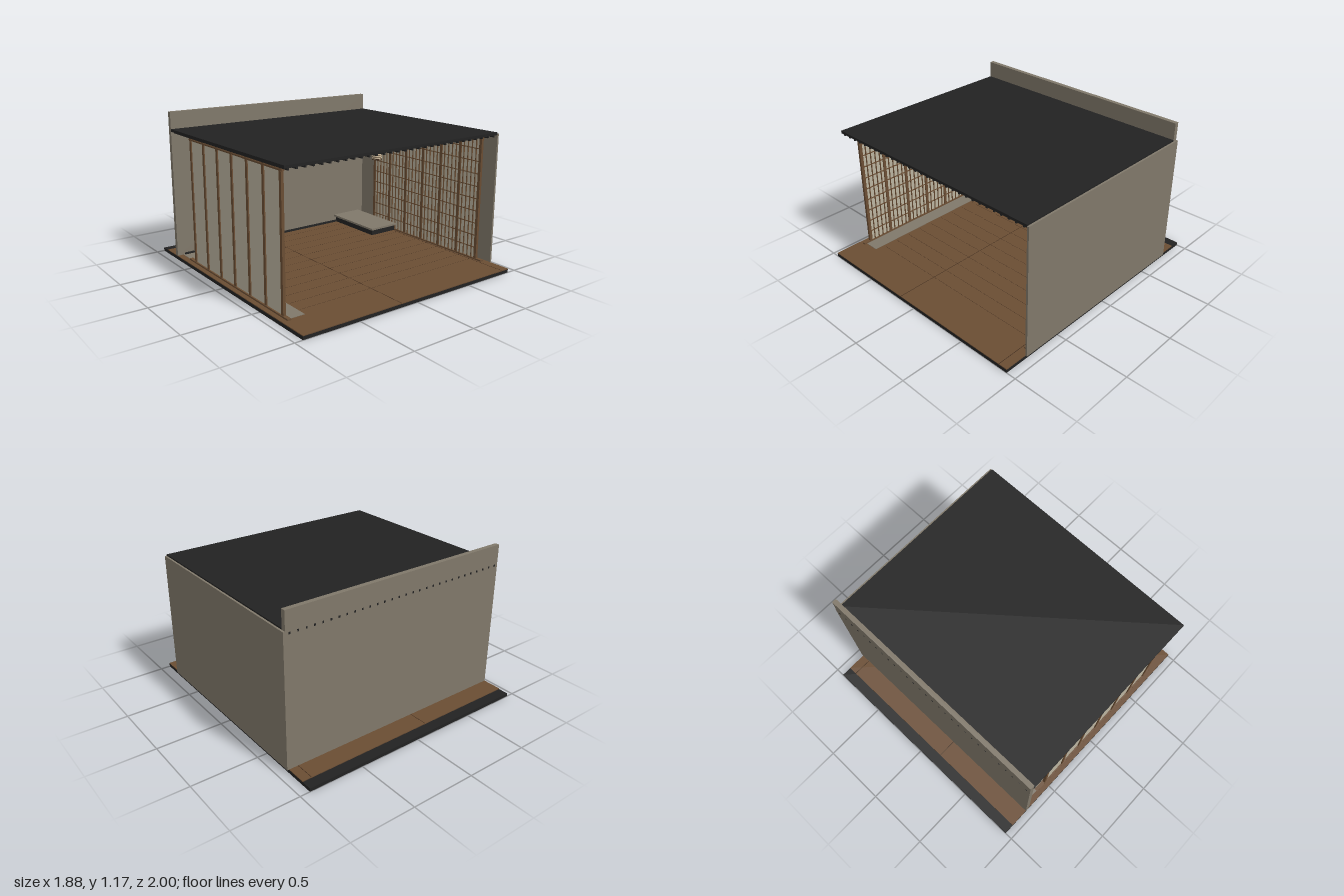
import * as THREE from 'three';

const mat = (name, color, side = THREE.FrontSide) => {
  const m = new THREE.MeshStandardMaterial({ color, side });
  m.name = name;
  return m;
};

export function createModel() {
  const root = new THREE.Group();
  root.name = 'openPavilion';
  const plaster = mat('greyPlaster', 0x80786a);
  const dark = mat('charcoal', 0x222222);
  const wood = mat('brownWood', 0x6a4d33);
  const seam = mat('darkWood', 0x3f2c1c);
  const paper = mat('screenPaper', 0xbab39f);
  const cream = mat('lanternCream', 0xd0bd9f);

  // Box given by its minimum and maximum on each axis
  const box = (name, m, x0, x1, y0, y1, z0, z1, parent = root) => {
    const mesh = new THREE.Mesh(new THREE.BoxGeometry(x1 - x0, y1 - y0, z1 - z0), m);
    mesh.position.set((x0 + x1) / 2, (y0 + y1) / 2, (z0 + z1) / 2);
    mesh.name = name;
    parent.add(mesh);
    return mesh;
  };
  const cylinder = (name, m, r, h, x, y, z, parent = root, sides = 20) => {
    const mesh = new THREE.Mesh(new THREE.CylinderGeometry(r, r, h, sides), m);
    mesh.position.set(x, y, z);
    mesh.name = name;
    parent.add(mesh);
    return mesh;
  };

  // Base slab and plank floor
  box('baseSlab', dark, -0.94, 0.925, 0, 0.025, -1, 1);
  box('floorBoards', wood, -0.94, 0.925, 0.025, 0.031, -0.92, 1);
  for (const x of [-0.145, 0.855]) box('floorSeam', seam, x - 0.002, x + 0.002, 0.03, 0.0316, -0.92, 1);
  for (let i = 0; i < 12; i++) {
    const z = -0.64 + i * 0.12;
    box('boardSeam', seam, -0.74, 0.87, 0.03, 0.0314, z - 0.001, z + 0.001);
  }
  box('floorStrip', plaster, -0.895, -0.76, 0.03, 0.034, -0.73, 0.76);

  // Walls and skirting
  box('backWall', plaster, -0.94, 0.925, 0.03, 1.17, -0.77, -0.735);
  box('sideWall', plaster, 0.925, 0.94, 0.03, 1.03, -0.77, 0.825);
  box('backSkirting', dark, -0.88, 0.62, 0.03, 0.046, -0.735, -0.72);

  // Flat roof with rafters reaching through the back wall
  box('roof', dark, -0.94, 0.925, 1.02, 1.04, -0.735, 0.825);
  for (let i = 0; i < 30; i++) {
    const x = -0.91 + i * 0.0622;
    box('rafter', dark, x - 0.006, x + 0.006, 1.006, 1.021, -0.772, 0.82);
  }

  // Lattice screen: the bars face the room, side is -1 or 1
  const screen = (name, cx, side) => {
    const g = new THREE.Group();
    g.name = name;
    root.add(g);
    const z0 = -0.5, step = 0.202, end = z0 + 6 * step;
    const inner = cx - side * 0.007;
    box('screenPaper', paper, cx - 0.002, cx + 0.002, 0.04, 1.0, z0, end, g);
    for (let i = 0; i <= 6; i++) {
      const z = z0 + i * step;
      box('screenPost', wood, cx - 0.01, cx + 0.01, 0.03, 1.02, z - 0.012, z + 0.012, g);
      if (i === 6) break;
      for (let k = 1; k < 5; k++) {
        const zb = z + (k * step) / 5;
        box('latticeUpright', wood, inner - 0.004, inner + 0.004, 0.04, 1.0, zb - 0.003, zb + 0.003, g);
      }
    }
    for (let k = 1; k < 10; k++) {
      const y = 0.03 + k * 0.097;
      box('latticeCrossbar', wood, inner - 0.0035, inner + 0.0035, y - 0.003, y + 0.003, z0, end, g);
    }
    box('screenSill', wood, cx - 0.014, cx + 0.014, 0.03, 0.042, -0.6, 0.78, g);
    const rail = cylinder('topRail', wood, 0.011, end - z0 + 0.04, cx, 0.99, (z0 + end) / 2, g, 12);
    rail.rotation.x = Math.PI / 2;
  };
  screen('rightScreen', -0.89, -1);
  screen('leftScreen', 0.885, 1);

  // Low platform in the back corner
  box('platformBase', dark, 0.62, 0.878, 0.03, 0.08, -0.735, -0.22);
  box('platformTop', plaster, 0.6, 0.878, 0.08, 0.096, -0.735, -0.2);

  // Ribbed paper lanterns on cords
  const lantern = (x, z, r, y0, y1) => {
    const g = new THREE.Group();
    g.name = 'hangingLantern';
    root.add(g);
    const h = y1 - y0, ribs = Math.round(h / 0.0155);
    cylinder('lanternShade', cream, r * 0.95, h, x, (y0 + y1) / 2, z, g);
    for (let i = 0; i <= ribs; i++) {
      cylinder('lanternRib', i % ribs ? cream : seam, r, 0.006, x, y0 + 0.003 + ((h - 0.006) * i) / ribs, z, g);
      if (i < ribs) cylinder('lanternGroove', seam, r * 0.965, 0.003, x, y0 + 0.003 + ((h - 0.006) * (i + 0.5)) / ribs, z, g);
    }
    cylinder('lanternCord', seam, 0.002, 1.02 - y1, x, (1.02 + y1) / 2, z, g, 6);
  };
  lantern(0.773, -0.35, 0.042, 0.655, 0.87);
  lantern(0.82, -0.55, 0.03, 0.74, 0.88);

  return root;
}
